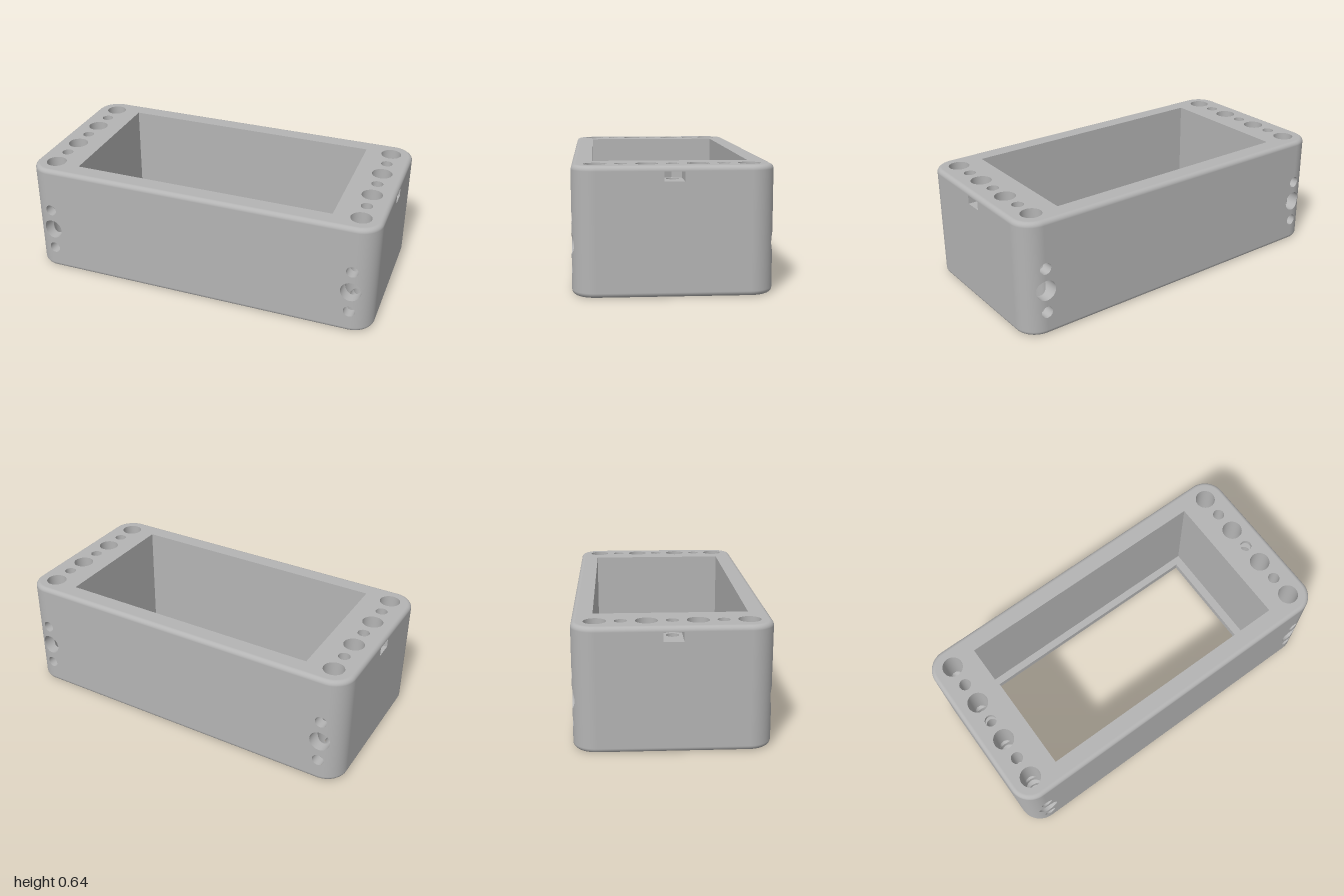
import * as THREE from 'three';

// Overall block
const W = 1, D = 0.495, H = 0.64;      // half width, half depth, height
const R = 0.12, F = 0.025;             // vertical corner radius, edge fillet
const CX = W - R, CZ = D - R;          // corner centres
// Holes: all axes lie in the planes x = +-CX
const BIG = 0.056, SMALL = 0.032, SEG = 64;
const vertical = [-0.378, -0.252, -0.126, 0, 0.126, 0.252, 0.378]
  .map((at, i) => ({ at, r: i % 2 ? SMALL : BIG }));
const horizontal = [{ at: 0.13, r: SMALL }, { at: 0.255, r: BIG }, { at: 0.38, r: SMALL }];
// Cavity and nut pocket
const CAV = [0.733, 0.39], LIP = [0.685, 0.348], LIP_Y = 0.045;
const NUT = { y0: 0.565, y1: 0.613, half: 0.05 };

const V = (x, y, z) => new THREE.Vector3(x, y, z);

// Joins neighbouring columns; a column is a list of spans [p0, n0, p1, n1]
function ribbon(columns) {
  const pos = [], nor = [];
  for (let i = 0; i + 1 < columns.length; i++) {
    columns[i].forEach((a, k) => {
      const b = columns[i + 1][k];
      const q = [[a[0], a[1]], [b[0], b[1]], [b[2], b[3]], [a[2], a[3]]];
      for (const t of [[0, 1, 2], [0, 2, 3]]) {
        const [p, s, u] = t.map((j) => q[j][0]);
        const face = s.clone().sub(p).cross(u.clone().sub(p));
        if (face.lengthSq() < 1e-18) continue;
        if (face.dot(a[1]) < 0) t.reverse();
        for (const j of t) {
          pos.push(...q[j][0].toArray());
          nor.push(...q[j][1].toArray());
        }
      }
    });
  }
  const g = new THREE.BufferGeometry();
  g.setAttribute('position', new THREE.Float32BufferAttribute(pos, 3));
  g.setAttribute('normal', new THREE.Float32BufferAttribute(nor, 3));
  return g;
}

// Spans left between lo and hi where crossing holes are cut out at sideways offset d
function cutSpans(lo, hi, holes, d, point, n) {
  const spans = [];
  let start = lo;
  for (const { at, r, half } of holes) {
    const h = half ?? Math.sqrt(Math.max(0, r * r - d * d));
    spans.push([point(start), n, point(at - h), n]);
    start = at + h;
  }
  spans.push([point(start), n, point(hi), n]);
  return spans;
}

// Upright walls along a polyline in x, z
function polyWalls(pts, y0, y1) {
  const geos = [];
  for (let i = 0; i + 1 < pts.length; i++) {
    const [a, b] = [pts[i], pts[i + 1]];
    const n = V(a[1] - b[1], 0, b[0] - a[0]).normalize();
    geos.push(ribbon([a, b].map(([x, z]) => [[V(x, y0, z), n, V(x, y1, z), n]])));
  }
  return geos;
}

const rect = ([a, b]) => [[-a, -b], [a, -b], [a, b], [-a, b], [-a, -b]];
const toPoints = (list) => list.map(([x, y]) => new THREE.Vector2(x, y));
const circle = (x, y, r) => Array.from({ length: SEG }, (_, i) => {
  const t = (i / SEG) * Math.PI * 2;
  return [x + r * Math.cos(t), y + r * Math.sin(t)];
});
function plate(outline, holes) {
  const shape = new THREE.Shape(toPoints(outline));
  shape.holes = holes.map((h) => new THREE.Path(toPoints(h)));
  return new THREE.ShapeGeometry(shape);
}
const faceUp = (g, y) => g.rotateX(-Math.PI / 2).translate(0, y, 0);
const faceDown = (g, y) => g.rotateX(Math.PI / 2).translate(0, y, 0);

// Outer z of the long side at offset d from a corner centre
const sideZ = (d) => (d > 0 ? CZ + Math.sqrt(Math.max(0, R * R - d * d)) : D);

// Columns of the front side and its two corners, denser around the holes
function frontColumns() {
  const offsets = new Set([0]);
  for (let k = 0; k <= 12; k++) {
    const c = Math.cos((k / 12) * Math.PI / 2);
    for (const r of [BIG, SMALL]) [c * r, -c * r].forEach((d) => offsets.add(+d.toFixed(5)));
    offsets.add(+(R * c).toFixed(5));
  }
  const right = [...offsets].sort((a, b) => b - a).map((d) => {
    const e = Math.max(0, d);
    return { d, x: CX + d, z: sideZ(d), nx: e / R, nz: Math.sqrt(Math.max(0, 1 - (e / R) ** 2)) };
  });
  const left = right.map((c) => ({ ...c, x: -c.x, nx: -c.nx })).reverse();
  return [...right, ...left];
}

export function createModel() {
  const model = new THREE.Group();
  model.name = 'perforatedFrameBlock';
  const grey = new THREE.MeshStandardMaterial({ color: 0xb4b4b4 });
  grey.name = 'grey';
  const add = (name, geos, parent = model) => {
    const group = new THREE.Group();
    group.name = name;
    [geos].flat().forEach((g) => {
      const m = new THREE.Mesh(g, grey);
      m.name = name + 'Surface';
      group.add(m);
    });
    parent.add(group);
  };

  const front = frontColumns();
  const around = [...front, ...front.map((c) => ({ ...c, x: -c.x, z: -c.z, nx: -c.nx, nz: -c.nz })), front[0]];

  // Rounded top and bottom edges
  const fillet = (yc, sign) => ribbon(around.map((c) => {
    const at = (k) => {
      const t = (k / 6) * Math.PI / 2, out = Math.cos(t);
      const n = V(c.nx * out, sign * Math.sin(t), c.nz * out);
      return [V(c.x - c.nx * F, yc, c.z - c.nz * F).addScaledVector(n, F), n];
    };
    return [0, 1, 2, 3, 4, 5].map((k) => [...at(k), ...at(k + 1)]);
  }));
  add('topEdge', fillet(H - F, 1));
  add('bottomEdge', fillet(F, -1));

  // Flat top and bottom with the opening and the rows of holes
  const outline = around.slice(0, -1).map((c) => [c.x - c.nx * F, c.z - c.nz * F])
    .filter((p, i, all) => !i || Math.hypot(p[0] - all[i - 1][0], p[1] - all[i - 1][1]) > 1e-5);
  const rows = [CX, -CX].flatMap((x) => vertical.map((h) => circle(x, h.at, h.r)));
  add('topFace', faceUp(plate(outline, [rect(CAV).slice(0, 4), ...rows]), H));
  add('bottomFace', faceDown(plate(outline, [rect(LIP).slice(0, 4), ...rows]), 0));

  // Cavity with a thin ledge at the bottom
  add('cavityWalls', polyWalls(rect(CAV), LIP_Y, H));
  add('ledge', faceUp(plate(rect(CAV).slice(0, 4), [rect(LIP).slice(0, 4)]), LIP_Y));
  add('ledgeEdge', polyWalls(rect(LIP), 0, LIP_Y));

  // One half of everything that repeats when turned half round
  const half = new THREE.Group();
  half.name = 'leftHalf';

  add('longSide', ribbon(front.map((c) => cutSpans(F, H - F, horizontal, c.d,
    (y) => V(c.x, y, c.z), V(c.nx, 0, c.nz)))), half);

  const s = NUT.half;
  add('endFace', plate([[-CZ, F], [CZ, F], [CZ, H - F], [-CZ, H - F]],
    [[[-s, NUT.y0], [s, NUT.y0], [s, NUT.y1], [-s, NUT.y1]]])
    .rotateY(Math.PI / 2).translate(W, 0, 0), half);

  // Hexagon-ended nut pocket
  const side = s / Math.sqrt(3);
  const pocket = [[W, s], [CX - side, s], [CX - 2 * side, 0], [CX - side, -s], [W, -s]];
  add('nutPocket', [
    ...polyWalls(pocket, NUT.y0, NUT.y1),
    faceUp(plate(pocket, [circle(CX, 0, SMALL)]), NUT.y0),
    faceDown(plate(pocket, [circle(CX, 0, SMALL)]), NUT.y1),
  ], half);

  // Hole linings, trimmed where the holes cross each other
  const lining = (r, column) => ribbon(Array.from({ length: SEG + 1 }, (_, i) => {
    const t = (i / SEG) * Math.PI * 2;
    return column(r * Math.cos(t), r * Math.sin(t), Math.cos(t), Math.sin(t));
  }));
  const slot = { at: (NUT.y0 + NUT.y1) / 2, half: (NUT.y1 - NUT.y0) / 2 };
  add('verticalHoles', vertical.map(({ at, r }) => lining(r, (u, v, c, n) =>
    cutSpans(0, H, at === 0 ? [...horizontal, slot] : horizontal, u,
      (y) => V(CX + u, y, at + v), V(-c, 0, -n)))), half);
  add('crossHoles', horizontal.map(({ at, r }) => lining(r, (u, v, c, n) =>
    cutSpans(-sideZ(u), sideZ(u), vertical, u,
      (z) => V(CX + u, at + v, z), V(-c, -n, 0)))), half);

  const other = half.clone();
  other.name = 'rightHalf';
  other.rotation.y = Math.PI;
  model.add(half, other);
  return model;
}
